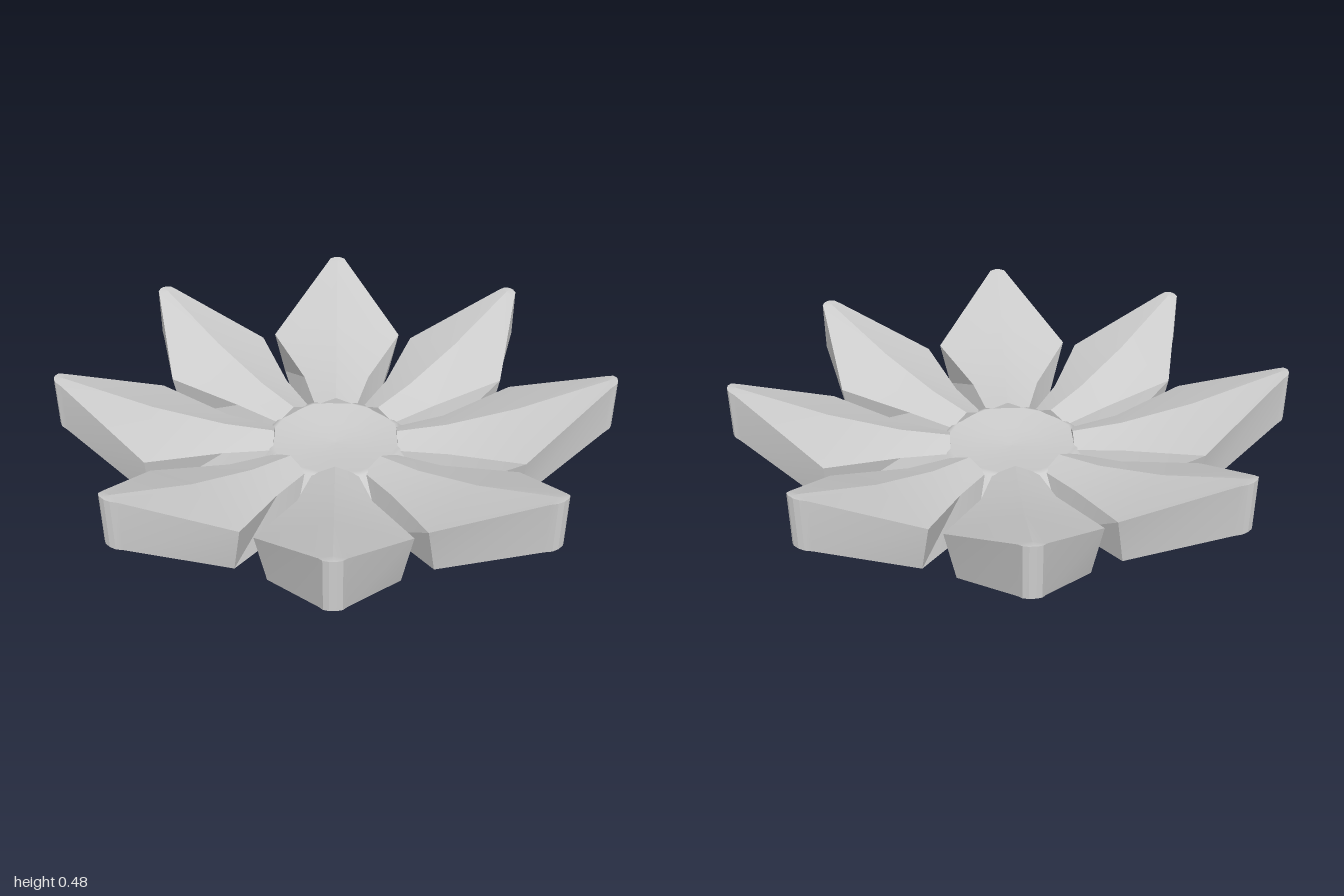
import * as THREE from 'three';
import { toCreasedNormals } from 'three/addons/utils/BufferGeometryUtils.js';

const material = new THREE.MeshStandardMaterial({ color: 0xcccccc });
const centreMaterial = new THREE.MeshStandardMaterial({ color: 0xcccccc, side: THREE.DoubleSide });

// Thick ridged petal pointing along +z, lofted through six-sided sections
function petalGeometry(shoulder) {
  // [radius, top half width, edge height, ridge height, bottom half width, bottom height]
  const stations = [
    [0.24, 0.085, 0.2, 0.235, 0.11, 0.075],
    [0.43, 0.135, 0.22, 0.265, 0.17, 0.075],
    [0.705, shoulder, 0.272, 0.342, shoulder - 0.04, 0.085],
    [1.035, 0.045, 0.462, 0.47, 0.043, 0.262],
    [1.058, 0.032, 0.472, 0.475, 0.031, 0.272],
    [1.067, 0.012, 0.475, 0.476, 0.012, 0.276],
  ];
  const positions = [];
  const index = [];
  const n = 6;
  for (const [r, tw, edge, ridge, bw, bottom] of stations) {
    positions.push(0, ridge, r, -tw, edge, r, -bw, bottom, r, 0, bottom, r, bw, bottom, r, tw, edge, r);
  }
  for (let s = 0; s < stations.length - 1; s++) {
    for (let i = 0; i < n; i++) {
      const a = s * n + i;
      const b = s * n + ((i + 1) % n);
      index.push(a, b, a + n, b, b + n, a + n);
    }
  }
  // end caps
  const last = (stations.length - 1) * n;
  for (let i = 1; i < n - 1; i++) {
    index.push(0, i + 1, i);
    index.push(last, last + i, last + i + 1);
  }
  const g = new THREE.BufferGeometry();
  g.setAttribute('position', new THREE.Float32BufferAttribute(positions, 3));
  g.setIndex(index);
  return toCreasedNormals(g, 0.3);
}

export function createModel() {
  const group = new THREE.Group();
  group.name = 'flower';

  // Eight petals in a ring, narrow and wide ones alternating
  const shapes = [petalGeometry(0.25), petalGeometry(0.272)];
  for (let i = 0; i < 8; i++) {
    const petal = new THREE.Mesh(shapes[i % 2], material);
    petal.name = 'petal' + (i + 1);
    petal.rotation.y = THREE.MathUtils.degToRad(23.6 + i * 45);
    group.add(petal);
  }

  // Low-sided centre: rounded underside and shallow dished top
  const profile = [
    [0, 0], [0.15, 0.005], [0.3, 0.02], [0.395, 0.075], [0.36, 0.11],
    [0.27, 0.205], [0.25, 0.21], [0.13, 0.185], [0, 0.18],
  ].map(([x, y]) => new THREE.Vector2(x, y));
  const centre = new THREE.Mesh(new THREE.LatheGeometry(profile, 12), centreMaterial);
  centre.name = 'flowerCentre';
  group.add(centre);

  return group;
}
